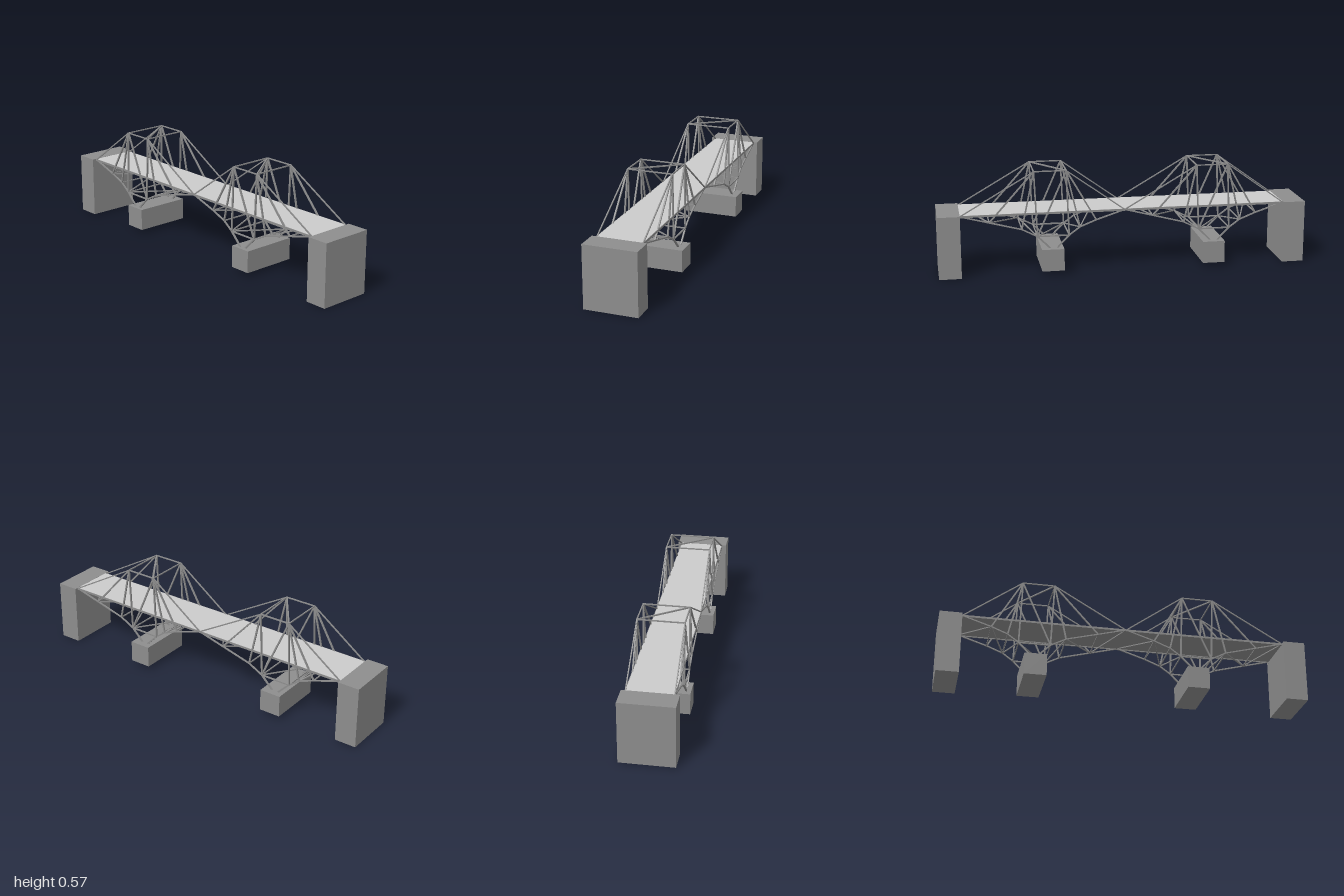
import * as THREE from 'three';

const light = new THREE.MeshStandardMaterial({ color: 0xcccccc, flatShading: true });
const dark = new THREE.MeshStandardMaterial({ color: 0x8d8d8d, flatShading: true });
const XR = -0.128, XL = 0.114;   // planes of the two side trusses
const XM = (XR + XL) / 2;

function box(parent, name, [w, h, d], [x, y, z], material = dark) {
  const mesh = new THREE.Mesh(new THREE.BoxGeometry(w, h, d), material);
  mesh.name = name;
  mesh.position.set(x, y, z);
  parent.add(mesh);
}

// Slim square bar between two points
function bar(parent, name, a, b, t = 0.006) {
  const from = new THREE.Vector3(...a), to = new THREE.Vector3(...b);
  const mesh = new THREE.Mesh(new THREE.BoxGeometry(t, t, from.distanceTo(to)), dark);
  mesh.name = name;
  mesh.position.addVectors(from, to).multiplyScalar(0.5);
  mesh.lookAt(to);
  parent.add(mesh);
}

// Truss nodes as [z, y], for the span from z = 0.88 to z = 0
const END_A = [0.88, 0.335], END_B = [0, 0.335];
const TOP_A = [0.487, 0.562], TOP_B = [0.315, 0.562];
const LOWER = [END_A, [0.727, 0.295], [0.555, 0.25], [0.472, 0.207],
  [0.302, 0.207], [0.243, 0.25], [0.155, 0.285], END_B];
const at = (x, [z, y]) => [x, y, z];

function cantileverSpan() {
  const span = new THREE.Group();
  span.name = 'cantileverSpan';

  for (const x of [XR, XL]) {
    const side = new THREE.Group();
    side.name = x < 0 ? 'rightTruss' : 'leftTruss';
    const link = (name, a, b, t) => bar(side, name, at(x, a), at(x, b), t);
    // Upper and lower chords
    link('upperChord', END_A, TOP_A);
    link('upperChord', TOP_A, TOP_B);
    link('upperChord', TOP_B, END_B);
    for (let i = 0; i < LOWER.length - 1; i++) link('lowerChord', LOWER[i], LOWER[i + 1], 0.007);
    // Web members fanning down from the two peaks
    for (const i of [1, 2, 3]) link('webMember', TOP_A, LOWER[i], 0.008);
    for (const i of [3, 4, 5, 6]) link('webMember', TOP_B, LOWER[i], 0.008);
    // Legs converging on the pier
    link('pierLeg', LOWER[3], [0.405, 0.14], 0.008);
    link('pierLeg', LOWER[4], [0.368, 0.14], 0.008);
    span.add(side);
  }

  // Portal bracing across the top
  for (const p of [TOP_A, TOP_B]) bar(span, 'topCrossbar', at(XR, p), at(XL, p));
  bar(span, 'topDiagonal', at(XR, TOP_A), at(XL, TOP_B), 0.007);

  // Lateral bracing between the lower chords, clear of the deck ends
  for (let i = 0; i < LOWER.length - 1; i++) {
    const flip = i % 2 === 0;
    if (i > 0) bar(span, 'lowerCrossbar', at(XR, LOWER[i]), at(XL, LOWER[i]));
    bar(span, 'lowerDiagonal', at(flip ? XR : XL, LOWER[i]), at(flip ? XL : XR, LOWER[i + 1]));
  }

  // Pier block
  box(span, 'pier', [0.307, 0.12, 0.12], [0, 0.082, 0.393]);
  return span;
}

export function createModel() {
  const bridge = new THREE.Group();
  bridge.name = 'cantileverBridge';

  // Two identical spans, end to end
  for (const z of [0, -0.88]) {
    const span = cantileverSpan();
    span.position.z = z;
    bridge.add(span);
  }

  // Pale road surface on a darker slab with edge beams
  box(bridge, 'roadSurface', [XL - XR, 0.002, 1.77], [XM, 0.3385, 0], light);
  box(bridge, 'deckSlab', [XL - XR, 0.004, 1.77], [XM, 0.3355, 0]);
  for (const x of [XR, XL]) box(bridge, 'edgeBeam', [0.006, 0.011, 1.76], [x, 0.3335, 0]);

  // End abutments
  for (const s of [1, -1]) box(bridge, 'abutment', [0.29, 0.34, 0.12], [-0.009, 0.17, s * 0.94]);

  return bridge;
}
